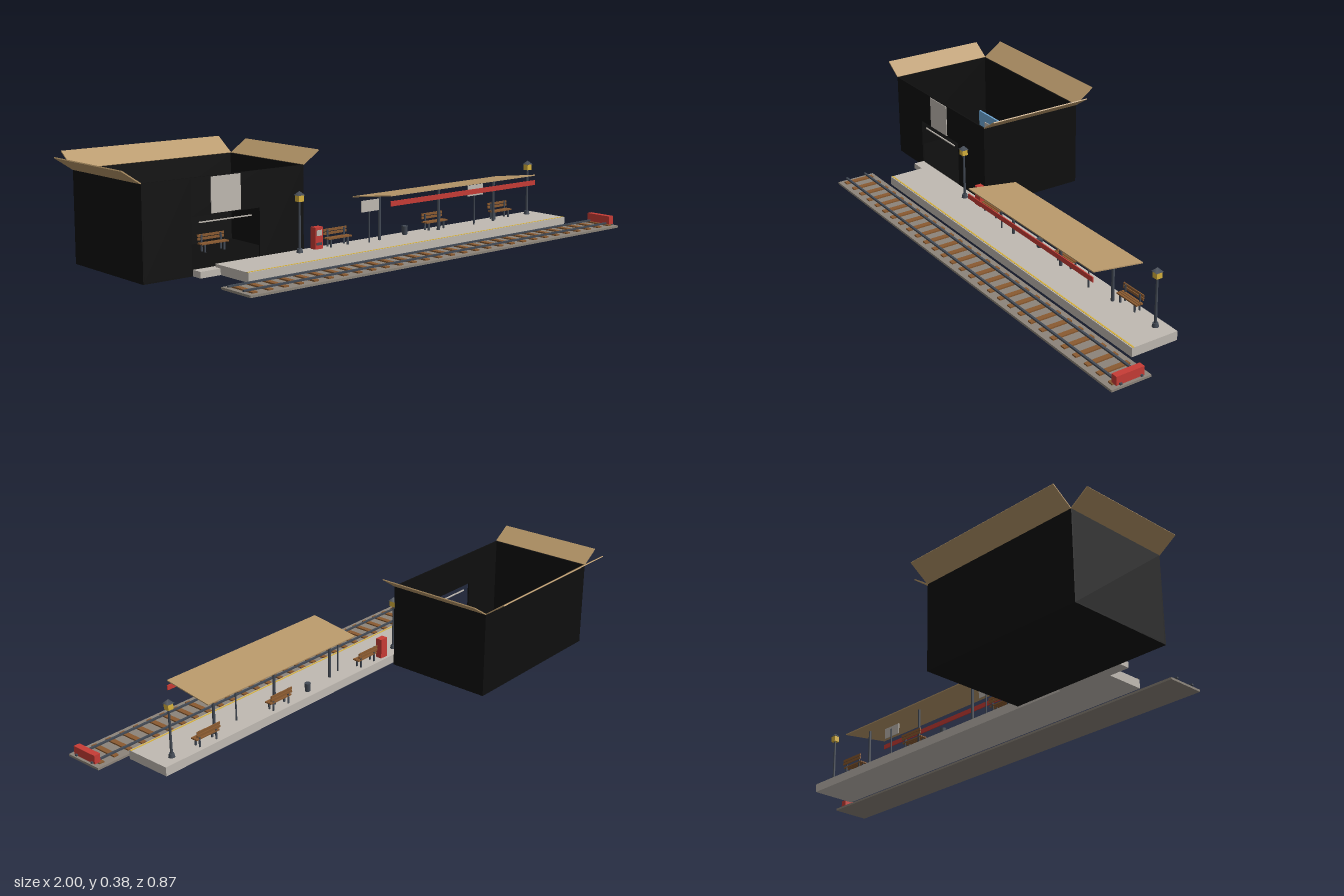
import * as THREE from 'three';

const mat = (name, color) => {
  const m = new THREE.MeshStandardMaterial({ color });
  m.name = name;
  return m;
};

export function createModel() {
  const black = mat('black card', 0x0e0e0e);
  const tan = mat('cardboard', 0xb8986a);
  const concrete = mat('concrete', 0xc0bab2);
  const ballastMat = mat('ballast', 0x8c847a);
  const wood = mat('brown wood', 0x8a5a30);
  const orange = mat('orange wood', 0xc88048);
  const blue = mat('blue glass', 0x6fa8d6);
  const red = mat('red paint', 0xc83c36);
  const slate = mat('slate metal', 0x434a55);
  const yellow = mat('lamp yellow', 0xd8b23c);

  const model = new THREE.Group();
  model.name = 'railwayStation';

  const group = (name, x = 0, y = 0, z = 0) => {
    const g = new THREE.Group();
    g.name = name;
    g.position.set(x, y, z);
    model.add(g);
    return g;
  };
  // Box given by its limits along each axis
  const box = (parent, name, m, x0, x1, y0, y1, z0, z1) => {
    const mesh = new THREE.Mesh(new THREE.BoxGeometry(x1 - x0, y1 - y0, z1 - z0), m);
    mesh.position.set((x0 + x1) / 2, (y0 + y1) / 2, (z0 + z1) / 2);
    mesh.name = name;
    parent.add(mesh);
    return mesh;
  };
  const cyl = (parent, name, m, rTop, rBottom, y0, y1, x = 0, z = 0, sides = 12) => {
    const mesh = new THREE.Mesh(new THREE.CylinderGeometry(rTop, rBottom, y1 - y0, sides), m);
    mesh.position.set(x, (y0 + y1) / 2, z);
    mesh.name = name;
    parent.add(mesh);
    return mesh;
  };

  // Station hall: open carton with a doorway in the front wall
  const X0 = -0.93, X1 = -0.275, Z0 = -0.355, Z1 = 0.067, H = 0.325, T = 0.006;
  const DX0 = -0.743, DX1 = -0.465, DH = 0.197;
  const hall = group('stationHall');
  box(hall, 'floor', black, X0, X1, 0, 0.006, Z0, Z1);
  box(hall, 'backWall', black, X0, X1, 0, H, Z0, Z0 + T);
  box(hall, 'rightWall', black, X0, X0 + T, 0, H, Z0, Z1);
  box(hall, 'leftWall', black, X1 - T, X1, 0, H, Z0, Z1);
  box(hall, 'frontWallRight', black, X0, DX0, 0, H, Z1 - T, Z1);
  box(hall, 'frontWallLeft', black, DX1, X1, 0, H, Z1 - T, Z1);
  box(hall, 'doorLintel', black, DX0, DX1, DH, H, Z1 - T, Z1);
  box(hall, 'wallNotice', concrete, -0.665, -0.545, 0.2, 0.322, Z1, Z1 + 0.003);
  box(hall, 'doorRail', concrete, -0.712, -0.497, 0.173, 0.177, Z1 - 0.005, Z1);
  box(hall, 'doorStep', concrete, -0.74, -0.465, 0, 0.022, Z1, 0.11);

  // Carton flaps, hinged on the rim
  const flap = (name, along, out, rise, x, z, turn) => {
    const hinge = group(name, x, H, z);
    hinge.rotation.y = turn;
    const len = Math.hypot(out, rise);
    const panel = new THREE.Mesh(new THREE.BoxGeometry(along, 0.004, len), tan);
    panel.name = 'flapPanel';
    panel.position.set(0, rise / 2, out / 2);
    panel.rotation.x = -Math.atan2(rise, out);
    hinge.add(panel);
  };
  flap('backFlap', X1 - X0, 0.077, 0.054, (X0 + X1) / 2, Z0, Math.PI);
  flap('rightFlap', Z1 - Z0, 0.069, 0.046, X0, (Z0 + Z1) / 2, -Math.PI / 2);
  flap('leftFlap', Z1 - Z0, 0.069, 0.046, X1, (Z0 + Z1) / 2, Math.PI / 2);

  // Ticket desk with a glass screen
  const desk = group('ticketDesk');
  box(desk, 'deskBody', orange, -0.835, -0.68, 0.006, 0.07, -0.285, -0.235);
  box(desk, 'glassScreen', blue, -0.835, -0.68, 0.07, 0.136, -0.268, -0.26);
  box(desk, 'servingHatch', concrete, -0.79, -0.725, 0.072, 0.1, -0.26, -0.257);

  // Benches
  const bench = (name, x, y, z, w) => {
    const b = group(name, x, y, z);
    for (const dz of [-0.009, 0.001, 0.011])
      box(b, 'seatSlat', wood, -w / 2, w / 2, 0.028, 0.033, dz - 0.004, dz + 0.004);
    for (const dy of [0.041, 0.053])
      box(b, 'backSlat', wood, -w / 2, w / 2, dy, dy + 0.009, -0.017, -0.013);
    for (const s of [-1, 1]) {
      const lx = s * w * 0.36;
      box(b, 'frontLeg', slate, lx - 0.003, lx + 0.003, 0, 0.028, 0.007, 0.012);
      box(b, 'backLeg', slate, lx - 0.003, lx + 0.003, 0, 0.06, -0.013, -0.009);
    }
  };
  bench('hallBench', -0.462, 0.006, -0.212, 0.115);
  for (const x of [-0.157, 0.317, 0.672]) bench('platformBench', x, 0.033, 0.11, 0.106);

  // Platform
  const platform = group('platform');
  box(platform, 'platformSlab', concrete, -0.66, 0.88, 0, 0.033, 0.08, 0.262);
  box(platform, 'edgeLine', yellow, -0.66, 0.88, 0.033, 0.034, 0.252, 0.258);

  // Canopy, sloping up towards the track
  const canopy = group('canopy');
  const roof = box(canopy, 'canopyRoof', tan, -0.055, 0.688, 0.202, 0.206, 0.072, 0.274);
  roof.rotation.x = -Math.atan2(0.028, 0.2);
  box(canopy, 'canopyFascia', red, -0.055, 0.688, 0.181, 0.199, 0.271, 0.275);
  for (const x of [0.02, 0.315, 0.61])
    cyl(canopy, 'canopyPost', slate, 0.005, 0.006, 0.033, 0.198, x, 0.133);

  // Sign boards on posts
  for (const x of [-0.04, 0.493]) {
    const sign = group('signBoard', x, 0, 0.145);
    cyl(sign, 'signPost', slate, 0.003, 0.003, 0.033, 0.175);
    box(sign, 'signPanel', concrete, -0.041, 0.041, 0.146, 0.187, 0.002, 0.005);
  }

  // Lamps
  for (const x of [-0.336, 0.818]) {
    const lamp = group('lamp', x, 0, 0.12);
    cyl(lamp, 'lampBase', slate, 0.009, 0.012, 0.033, 0.047);
    cyl(lamp, 'lampPost', slate, 0.004, 0.005, 0.047, 0.21);
    box(lamp, 'lantern', yellow, -0.011, 0.011, 0.21, 0.232, -0.011, 0.011);
    const cap = cyl(lamp, 'lanternCap', slate, 0.001, 0.02, 0.232, 0.246, 0, 0, 4);
    cap.rotation.y = Math.PI / 4;
  }

  // Litter bin and red kiosk
  const bin = group('litterBin', 0.16, 0, 0.115);
  cyl(bin, 'binBody', slate, 0.012, 0.01, 0.033, 0.065);
  const kiosk = group('kiosk');
  box(kiosk, 'kioskBody', red, -0.265, -0.23, 0.033, 0.11, 0.092, 0.118);
  box(kiosk, 'kioskPanel', concrete, -0.26, -0.236, 0.08, 0.1, 0.118, 0.12);
  box(kiosk, 'kioskSlot', slate, -0.26, -0.236, 0.047, 0.056, 0.118, 0.12);

  // Track with sleepers, rails and buffer stop
  const track = group('track');
  box(track, 'ballast', ballastMat, -0.78, 1, 0, 0.008, 0.28, 0.432);
  for (let i = 0; i < 29; i++) {
    const x = -0.75 + i * 0.0614;
    box(track, 'sleeper', wood, x - 0.01, x + 0.01, 0.008, 0.013, 0.297, 0.415);
  }
  for (const z of [0.315, 0.395])
    box(track, 'rail', slate, -0.78, 1, 0.013, 0.019, z - 0.004, z + 0.004);
  box(track, 'bufferStop', red, 0.97, 0.994, 0.012, 0.044, 0.303, 0.41);

  return model;
}
